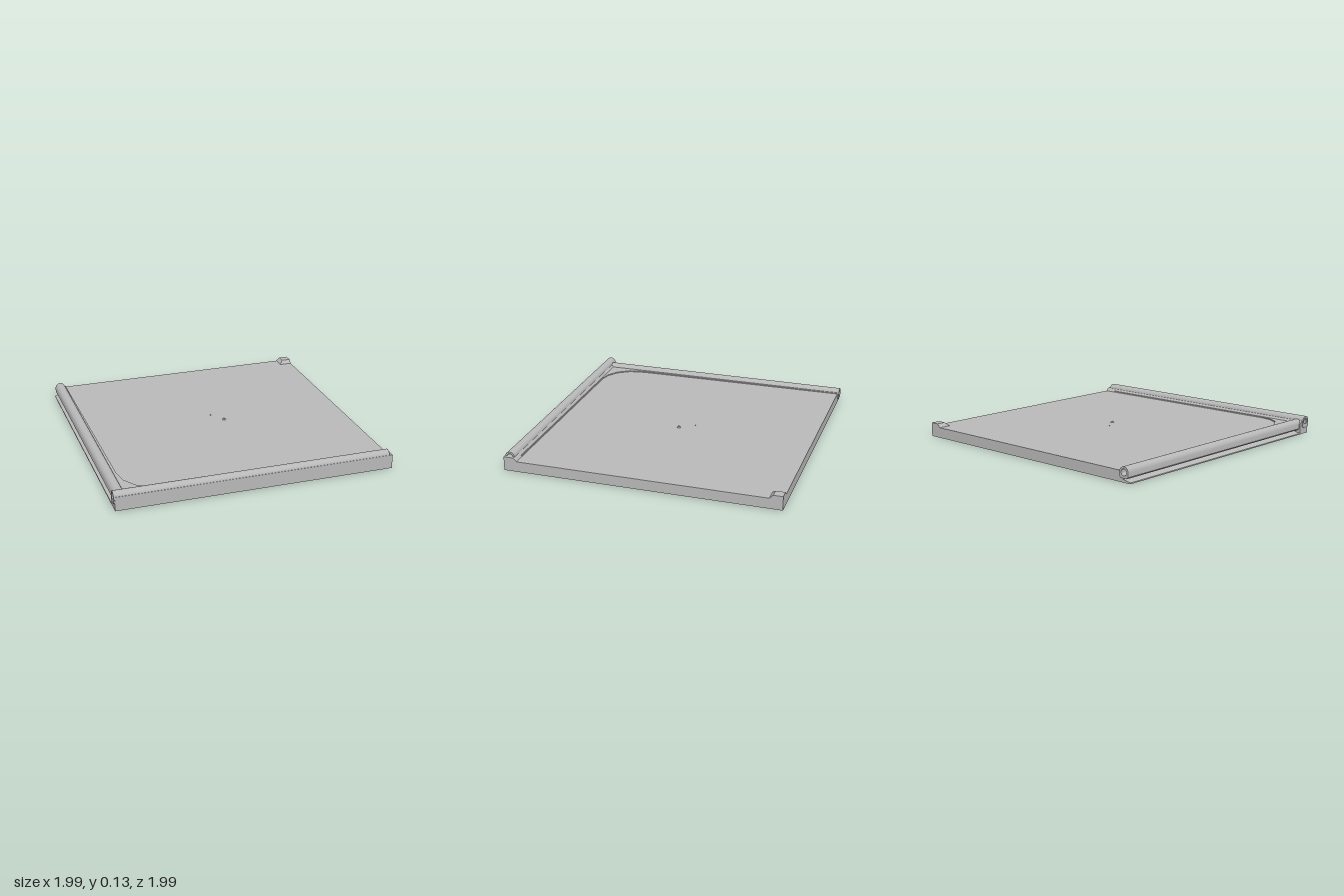
import * as THREE from 'three';
import { toCreasedNormals } from 'three/addons/utils/BufferGeometryUtils.js';

export function createModel() {
  const model = new THREE.Group();
  const tile = new THREE.Group();
  tile.name = 'tile';
  tile.rotation.y = -0.0128; // whole tile sits slightly askew
  model.add(tile);

  const grey = new THREE.MeshStandardMaterial({ color: 0xb8b8b8 });
  grey.name = 'plain grey';

  const add = (name, geometry) => {
    const mesh = new THREE.Mesh(geometry, grey);
    mesh.name = name;
    tile.add(mesh);
    return mesh;
  };
  const polygon = (pts) => new THREE.Shape(pts.map(([x, y]) => new THREE.Vector2(x, y)));
  const extrude = (shape, depth) => toCreasedNormals(
    new THREE.ExtrudeGeometry(shape, { depth, bevelEnabled: false, curveSegments: 16 }), 0.6);

  // Base slab with a thin lip under the side pipe
  add('slab', extrude(polygon([
    [-0.98, 0], [0.98, 0], [0.98, 0.075], [-0.91, 0.075], [-0.92, 0.02], [-0.98, 0.008],
  ]), 1.96)).position.z = -0.98;

  // Front curb with a sloped inner edge, running along x
  const curb = add('frontCurb', extrude(polygon([
    [-0.98, 0], [-0.885, 0], [-0.885, 0.075], [-0.91, 0.1], [-0.98, 0.1],
  ]), 1.96).rotateY(Math.PI / 2));
  curb.position.x = -0.98;

  // Low step along both pipes, with a rounded inner corner
  const step = polygon([
    [-0.912, -0.98], [-0.893, -0.98], [-0.88, 0.61], [-0.86, 0.73], [-0.80, 0.82],
    [-0.72, 0.87], [-0.63, 0.888], [0.89, 0.888], [0.89, 0.912], [-0.912, 0.912],
  ]);
  add('innerStep', extrude(step, 0.025).rotateX(Math.PI / 2)).position.y = 0.083;

  // Hollow pipe: round top, straight sides, open bore
  const pipe = (radius, bottom, top, length) => {
    const cy = top - radius;
    const shape = new THREE.Shape();
    shape.moveTo(-radius, bottom + 0.012);
    shape.lineTo(-radius + 0.012, bottom);
    shape.lineTo(radius - 0.012, bottom);
    shape.lineTo(radius, bottom + 0.012);
    shape.lineTo(radius, cy);
    shape.absarc(0, cy, radius, 0, Math.PI, false);
    shape.closePath();
    const bore = new THREE.Path();
    bore.absarc(0, cy, radius * 0.62, 0, Math.PI * 2, true);
    shape.holes.push(bore);
    return extrude(shape, length);
  };
  add('sidePipe', pipe(0.037, 0.03, 0.107, 1.9)).position.set(-0.934, 0, -0.99);
  add('frontPipe', pipe(0.035, 0.045, 0.13, 1.945).rotateY(Math.PI / 2)).position.set(-0.988, 0, 0.943);

  // Corner block with two sloped inner faces
  const block = new THREE.BoxGeometry(0.096, 0.1, 0.096).toNonIndexed();
  const p = block.attributes.position;
  for (let i = 0; i < p.count; i++) {
    const x = p.getX(i), y = p.getY(i), z = p.getZ(i);
    const inset = y > 0 ? 0.03 : 0;
    const x2 = x < 0 ? x + inset : x;
    const z2 = z > 0 ? z - inset : z;
    p.setXYZ(i, x2, y < 0 ? 0.07 : 0.1, z2);
  }
  block.computeVertexNormals();
  add('cornerBlock', block).position.set(0.932, 0, -0.932);

  // Tiny surface pebbles near the middle
  for (const [x, z, r] of [[0.09, 0.005, 0.016], [0.02, -0.1, 0.006]]) {
    add('pebble', toCreasedNormals(new THREE.ConeGeometry(r, r * 0.9, 5), 0.1)).position.set(x, 0.075 + r * 0.4, z);
  }
  return model;
}
